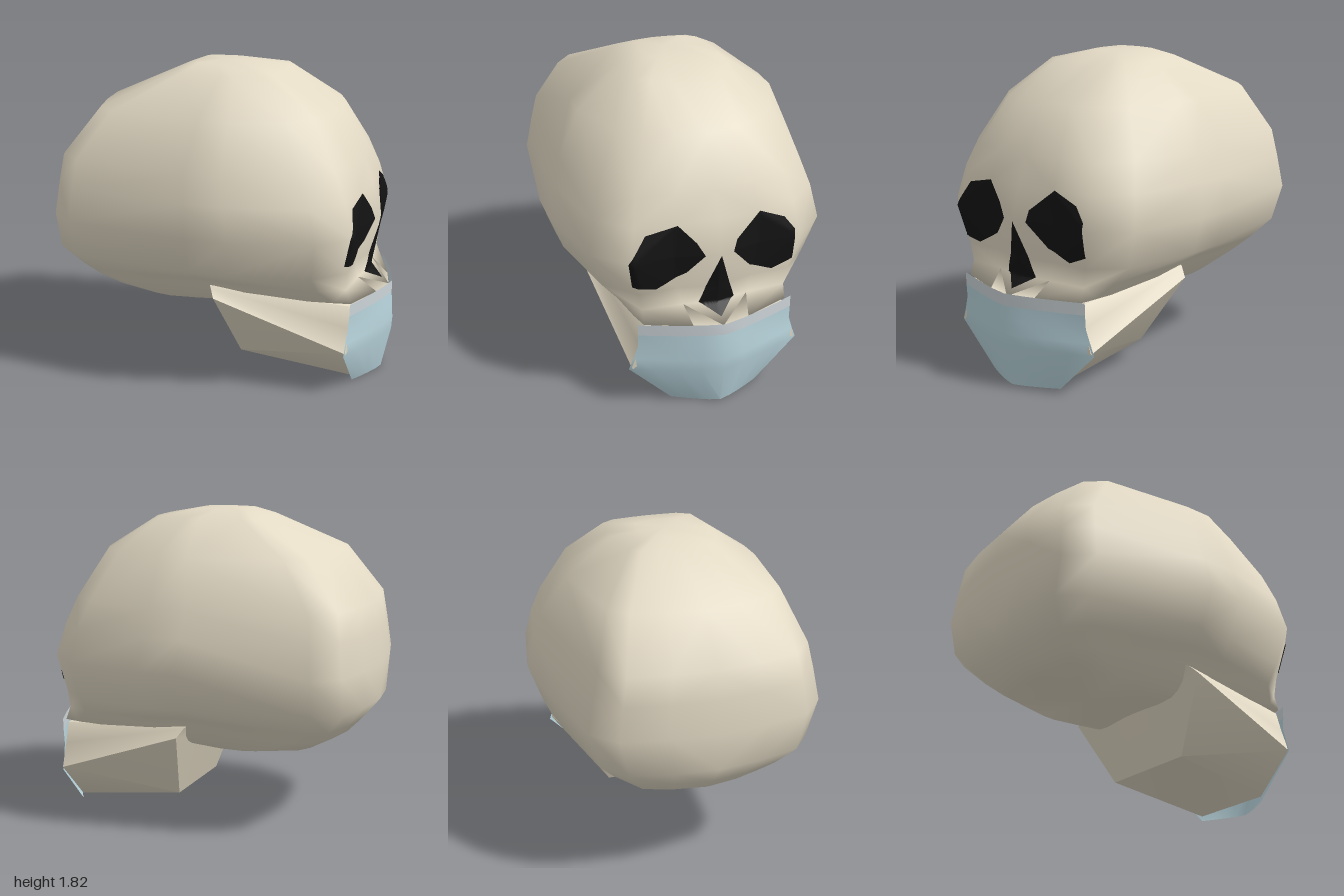
import * as THREE from 'three';
import { toCreasedNormals } from 'three/addons/utils/BufferGeometryUtils.js';

const bone = new THREE.MeshStandardMaterial({ color: 0xe3dac5 });
bone.name = 'bone';
const dark = new THREE.MeshStandardMaterial({ color: 0x141414, side: THREE.DoubleSide });
dark.name = 'hollowBlack';
const blue = new THREE.MeshStandardMaterial({ color: 0xbad6de, side: THREE.DoubleSide });
blue.name = 'maskBlue';
const grey = new THREE.MeshStandardMaterial({ color: 0xced6da, side: THREE.DoubleSide });
grey.name = 'maskTrim';

function geometry(points, index) {
  const g = new THREE.BufferGeometry();
  g.setAttribute('position', new THREE.Float32BufferAttribute(points.flat(), 3));
  g.setIndex(index);
  g.computeVertexNormals();
  return g;
}

// Joins closed rings of equal length and caps both ends with a fan.
// Each quad is split along the diagonal that bulges further outward.
function loft(rings, startCap, endCap) {
  const n = rings[0].length, last = (rings.length - 1) * n;
  const points = [...rings.flat(), startCap, endCap];
  const s = points.length - 2, e = s + 1, index = [];
  const reach = (p, q) => Math.hypot(...[0, 1, 2].map(
    i => points[p][i] + points[q][i] - startCap[i] - endCap[i]));
  for (let j = 0; j < n; j++) {
    const k = (j + 1) % n;
    for (let i = 0; i < last; i += n) {
      const a = i + j, b = i + k, c = a + n, d = b + n;
      if (reach(a, d) > reach(b, c)) index.push(a, c, d, a, d, b);
      else index.push(a, c, b, b, c, d);
    }
    index.push(s, j, k, e, last + k, last + j);
  }
  return geometry(points, index);
}

function add(group, name, geo, material) {
  const mesh = new THREE.Mesh(geo, material);
  mesh.name = name;
  group.add(mesh);
  return mesh;
}

// Cranium: one plan outline scaled to each level; the face looks along +x
function craniumGeometry() {
  // back y, front y, back x, front x, half width, eye-line, brow and temple points, lift at mid-side
  const levels = [
    [1.81, 1.81, -0.2, 0.12, 0.15, 0.97],
    [1.77, 1.77, -0.3, 0.33, 0.3, 0.985, [0.96, 0.67], [0.81, 0.92]],
    [1.575, 1.575, -0.73, 0.67, 0.58, 0.96, [0.87, 0.58], [0.69, 0.79]],
    [1.3, 1.3, -0.95, 0.8, 0.7, 0.975, [0.925, 0.62], [0.74, 0.85]],
    [1.14, 1.14, -0.975, 0.855, 0.74, 0.98],
    [0.95, 0.95, -1, 0.91, 0.78, 0.927],
    [0.73, 0.73, -0.99, 0.87, 0.7, 0.94],
    [0.6, 0.62, -0.88, 0.85, 0.59, 0.97, [0.95, 0.72], [0.78, 0.88], 0.05],
    [0.52, 0.53, -0.8, 0.97, 0.51, 0.955, [0.85, 0.83], [0.74, 0.89], 0.08],
    [0.47, 0.42, -0.68, -0.04, 0.36, 0.94],
  ];
  const rings = levels.map(([yb, yf, xb, xf, w, eye, brow = [0.94, 0.63], temple = [0.76, 0.87], lift = 0]) => {
    const plan = [[-1, 0], [-0.97, 0.36], [-0.91, 0.7], [-0.76, 0.87], [0.016, 1], [0.26, 1],
      temple, brow, [eye, 0.32], [1, 0]];
    const at = ([u, v], side) => {
      const t = (u + 1) / 2;
      return [xb + (xf - xb) * t, yb + (yf - yb) * t + lift * (1 - Math.abs(u)), v * w * side];
    };
    return [...plan.map(p => at(p, 1)), ...plan.slice(1, -1).reverse().map(p => at(p, -1))];
  });
  return loft(rings, [-0.04, 1.815, 0], [-0.3, 0.44, 0]);
}

// Jaw: sections from the hinge to the chin, each from bottom edge up to cheek
function jawGeometry() {
  const sections = [
    [[0.15, 0.12, 0.3], [0.06, 0.53, 0.555], [0.03, 0.58, 0.51], [0, 0.61, 0.46]],
    [[0.82, 0.03, 0.26], [0.83, 0.26, 0.495], [0.83, 0.4, 0.445], [0.83, 0.52, 0.41]],
  ];
  const rings = sections.map(s => [...s, ...s.map(([x, y, z]) => [x, y, -z]).reverse()]);
  return toCreasedNormals(loft(rings, [0, 0.45, 0], [0.935, 0.48, 0]), 0.95);
}

// Mask: rows of y, half width, edge x, centre x, bowed across the face
function maskGeometry(rows) {
  const columns = [-1, -0.75, -0.5, -0.25, 0, 0.25, 0.5, 0.75, 1];
  const n = columns.length, points = [], index = [];
  rows.forEach(([y, w, edge, centre], r) => {
    columns.forEach((t, c) => {
      points.push([edge + (centre - edge) * (1 - Math.abs(t) ** 1.25), y, -t * w]);
      if (r && c) {
        const d = r * n + c;
        index.push(d - n - 1, d - 1, d, d - n - 1, d, d - n);
      }
    });
  });
  return toCreasedNormals(geometry(points, index), 0.6);
}

// Thin patch laid on the front of the skull, outlined by [z, y] points
function patchGeometry(outline, targets) {
  const ray = new THREE.Raycaster();
  const drop = (z, y) => {
    ray.set(new THREE.Vector3(3, y, z), new THREE.Vector3(-1, 0, 0));
    const hit = ray.intersectObjects(targets)[0];
    return [(hit ? hit.point.x : 0.84) + 0.007, y, z];
  };
  const n = outline.length, split = 6, steps = 14, rim = [];
  outline.forEach(([z, y], i) => {
    const [z2, y2] = outline[(i + 1) % n];
    for (let s = 0; s < split; s++) rim.push([z + (z2 - z) * s / split, y + (y2 - y) * s / split]);
  });
  const m = rim.length;
  const cz = outline.reduce((a, p) => a + p[0], 0) / n;
  const cy = outline.reduce((a, p) => a + p[1], 0) / n;
  const points = [], index = [];
  for (let r = 0; r <= steps; r++) {
    const f = r / steps;
    rim.forEach(([z, y], j) => {
      points.push(drop(cz + (z - cz) * f, cy + (y - cy) * f));
      if (r) {
        const a = (r - 1) * m + j, b = (r - 1) * m + (j + 1) % m;
        index.push(a, a + m, b + m, a, b + m, b);
      }
    });
  }
  return geometry(points, index);
}

export function createModel() {
  const group = new THREE.Group();
  group.name = 'maskedSkull';

  const cranium = add(group, 'cranium', craniumGeometry(), bone);
  const jaw = add(group, 'jaw', jawGeometry(), bone);
  const face = [cranium, jaw];
  face.forEach(m => m.updateMatrixWorld());

  // Eye sockets and nose hollow
  add(group, 'eyeSocketPlusZ', patchGeometry([[0.51, 0.95], [0.41, 1.1], [0.23, 1.14], [0.13, 1.03],
    [0.085, 0.95], [0.18, 0.84], [0.35, 0.75], [0.48, 0.78]], face), dark);
  add(group, 'eyeSocketMinusZ', patchGeometry([[-0.08, 0.95], [-0.1, 1.02], [-0.25, 1.145], [-0.4, 1.08],
    [-0.46, 1], [-0.46, 0.8], [-0.34, 0.75], [-0.2, 0.81]], face), dark);
  add(group, 'noseHollow', patchGeometry([[0, 0.95], [0.105, 0.63], [0, 0.565], [-0.105, 0.63]], face), dark);

  // Face mask with its top trim
  add(group, 'maskTrim', maskGeometry([[0.55, 0.46, 0.84, 0.99], [0.48, 0.46, 0.838, 0.99]]), grey);
  add(group, 'mask', maskGeometry([[0.48, 0.46, 0.838, 0.99], [0.4, 0.46, 0.832, 0.995],
    [0.32, 0.485, 0.825, 1], [0.25, 0.51, 0.82, 0.995], [0, 0.26, 0.82, 0.94]]), blue);

  return group;
}
